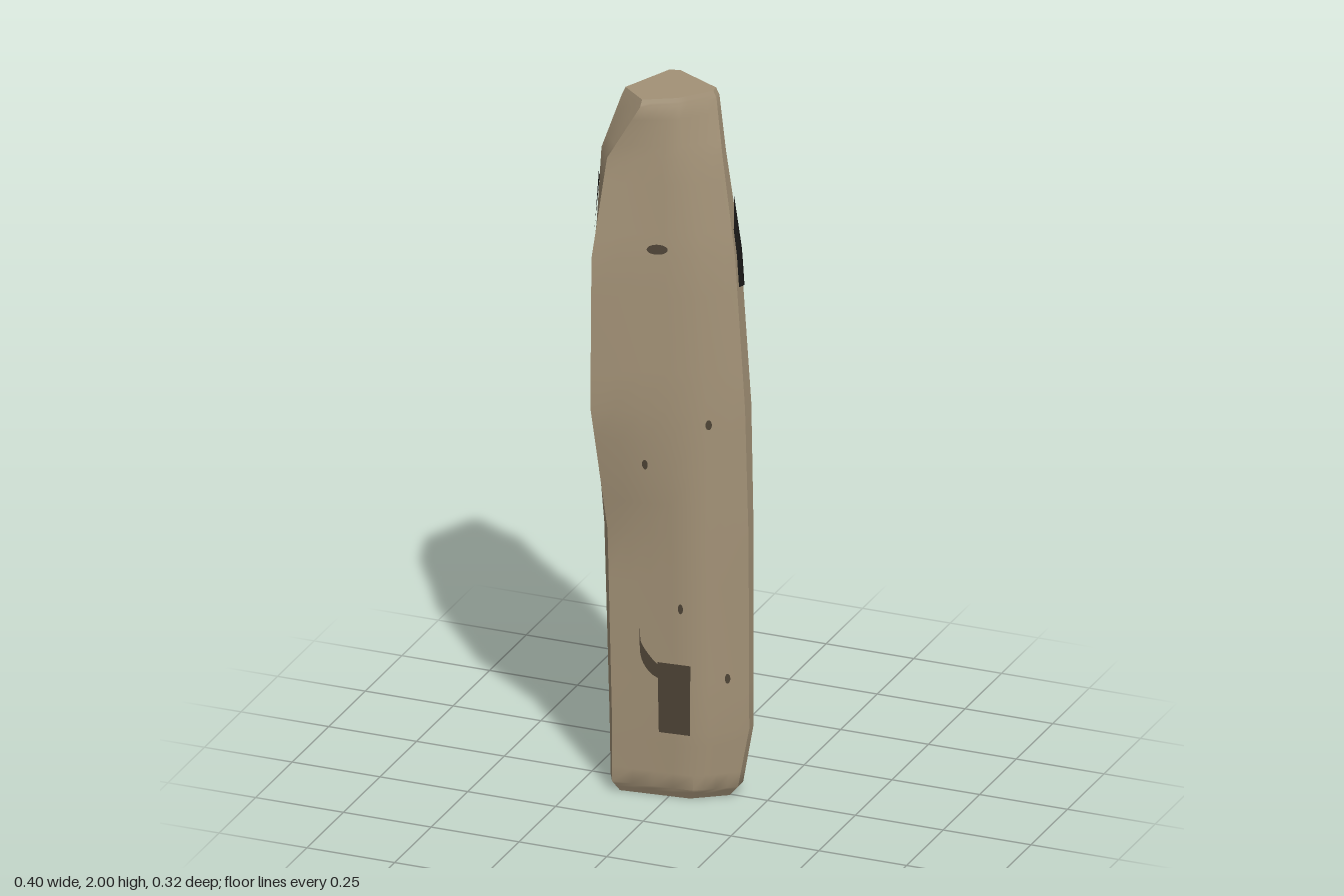
import * as THREE from 'three';
import { toCreasedNormals } from 'three/addons/utils/BufferGeometryUtils.js';

const mat = (name, color) => Object.assign(new THREE.MeshStandardMaterial({ color }), { name });

// Rounded-triangle cross-sections: height, then seven [x, z] corners
// (left side, left front, front, right front, right back, back right, back left)
const RINGS = [
  [0.03, [[-.172, .06], [-.15, .103], [.07, .08], [.17, .01], [.17, -.025], [-.045, -.158], [-.08, -.145]]],
  [0.20, [[-.175, .06], [-.15, .103], [.08, .083], [.2, .005], [.2, -.025], [-.045, -.16], [-.08, -.15]]],
  [0.75, [[-.19, .06], [-.165, .098], [.07, .083], [.2, .01], [.2, -.025], [-.045, -.15], [-.08, -.14]]],
  [1.12, [[-.2, .107], [-.187, .163], [.07, .08], [.19, .01], [.19, -.033], [-.05, -.144], [-.083, -.134]]],
  [1.55, [[-.2, .1], [-.185, .16], [.06, .075], [.157, 0], [.155, -.045], [-.05, -.137], [-.083, -.13]]],
  [1.83, [[-.196, .065], [-.155, .126], [.03, .07], [.117, -.01], [.114, -.042], [-.05, -.135], [-.083, -.128]]],
  [1.98, [[-.148, .04], [-.07, .105], [.02, .055], [.092, -.03], [.09, -.055], [-.05, -.128], [-.08, -.12]]],
];
const N = 7, MID = [-.03, -.02];

// Bevelled ends: the outermost sections drawn in towards the middle
const shrink = (y, ring, s) => [y, ring[1].map(p => p.map((q, d) => MID[d] + (q - MID[d]) * s))];
const SECTIONS = [shrink(0, RINGS[0], 0.87), ...RINGS, shrink(2, RINGS[RINGS.length - 1], 0.93)];

// Point on the body: t runs round the corners, y is the height
function surf(t, y) {
  t = ((t % N) + N) % N;
  let k = 0;
  while (k < SECTIONS.length - 2 && y > SECTIONS[k + 1][0]) k++;
  const [y0, a] = SECTIONS[k], [y1, b] = SECTIONS[k + 1];
  const v = (y - y0) / (y1 - y0), i = Math.floor(t), j = (i + 1) % N, f = t - i;
  const c = [0, 1].map(d => {
    const lo = a[i][d] + (a[j][d] - a[i][d]) * f;
    const hi = b[i][d] + (b[j][d] - b[i][d]) * f;
    return lo + (hi - lo) * v;
  });
  return new THREE.Vector3(c[0], y, c[1]);
}

// Point lifted slightly off the body, for paint
function lifted(t, y, d = 0.004) {
  const e = 0.01;
  const du = surf(t + e, y).sub(surf(t - e, y));
  const dv = surf(t, y + e).sub(surf(t, y - e));
  return surf(t, y).addScaledVector(du.cross(dv).normalize(), d);
}

function geo(points, index) {
  const g = new THREE.BufferGeometry().setFromPoints(points);
  g.setIndex(index);
  g.computeVertexNormals();
  return g;
}

function grid(rows) {
  const n = rows[0].length, index = [];
  for (let r = 0; r < rows.length - 1; r++)
    for (let c = 0; c < n - 1; c++) {
      const a = r * n + c, b = a + n;
      index.push(a, a + 1, b + 1, a, b + 1, b);
    }
  return { points: rows.flat(), index };
}

function bodyGeometry() {
  const heights = [0], cols = N * 4;
  for (let k = 1; k < SECTIONS.length; k++)
    for (let s = 1; s <= 4; s++)
      heights.push(SECTIONS[k - 1][0] + (SECTIONS[k][0] - SECTIONS[k - 1][0]) * s / 4);
  const rows = heights.map(y => Array.from({ length: cols + 1 }, (_, c) => surf(c / 4, y)));
  const { points, index } = grid(rows);
  // End caps
  const last = (heights.length - 1) * (cols + 1);
  const bottom = points.push(new THREE.Vector3(MID[0], 0, MID[1])) - 1;
  const top = points.push(new THREE.Vector3(MID[0], 2, MID[1])) - 1;
  for (let c = 0; c < cols; c++) index.push(bottom, c + 1, c, top, last + c, last + c + 1);
  return toCreasedNormals(geo(points, index), 0.6);
}

// Painted band wrapping round corners; columns are [t, low, high]
function bandGeometry(columns) {
  const dense = [];
  columns.forEach((c, i) => {
    const n = columns[i + 1];
    if (!n) return dense.push(c);
    for (let s = 0; s < 4; s++) dense.push(c.map((q, d) => q + (n[d] - q) * s / 4));
  });
  const rows = [];
  for (let r = 0; r <= 12; r++)
    rows.push(dense.map(([t, lo, hi]) => lifted(t, lo + (hi - lo) * r / 12)));
  const { points, index } = grid(rows);
  return geo(points, index);
}

// Flat painted outline given in (t, y), laid on the body
function decalGeometry(shape, d) {
  const g = new THREE.ShapeGeometry(shape), p = g.attributes.position;
  for (let i = 0; i < p.count; i++) {
    const q = lifted(p.getX(i), p.getY(i), d);
    p.setXYZ(i, q.x, q.y, q.z);
  }
  g.computeVertexNormals();
  return g;
}

// Ellipse, with a wavy edge when it has petals
const blob = (t, y, rt, ry, petals = 0) => new THREE.Shape(
  Array.from({ length: 40 }, (_, i) => {
    const a = i / 40 * Math.PI * 2, r = petals ? 0.9 + 0.1 * Math.cos(petals * a) : 1;
    return new THREE.Vector2(t + Math.cos(a) * rt * r, y + Math.sin(a) * ry * r);
  }));

// Curved tapering brush stroke through points
function stroke(points, width) {
  const curve = new THREE.SplineCurve(points.map(p => new THREE.Vector2(...p)));
  const upper = [], lower = [];
  for (let i = 0; i <= 14; i++) {
    const p = curve.getPoint(i / 14), w = width * (0.35 + 0.65 * Math.sin(Math.PI * i / 14));
    upper.push(new THREE.Vector2(p.x, p.y + w / 2));
    lower.push(new THREE.Vector2(p.x, p.y - w / 2));
  }
  return new THREE.Shape([...lower, ...upper.reverse()]);
}

export function createModel() {
  const model = new THREE.Group();
  model.name = 'paintedStick';
  const wood = mat('wood', 0xa39277), black = mat('blackPaint', 0x1c1b1a), red = mat('redPaint', 0x76262a);
  const pink = mat('pinkPaint', 0x9c5862), brown = mat('brownMark', 0x4e4436);
  const add = (name, g, m) => {
    const mesh = new THREE.Mesh(g, m);
    mesh.name = name;
    model.add(mesh);
  };
  const paint = (name, shape, m, d) => add(name, decalGeometry(shape, d), m);

  add('body', bodyGeometry(), wood);

  // Hair and mouth wrap round the back ridge
  add('hair', bandGeometry([
    [3.1, 1.46, 1.62], [4, 1.45, 1.70], [4.3, 1.48, 1.75], [4.6, 1.52, 1.77],
    [5, 1.62, 1.80], [6, 1.61, 1.80], [6.17, 1.53, 1.81], [6.44, 1.485, 1.80],
    [7, 1.41, 1.77], [7.4, 1.39, 1.76]]), black);
  add('mouth', bandGeometry([
    [4.49, .768, .775], [4.75, .72, .78], [5, .69, .78], [6, .675, .752],
    [6.5, .71, .757], [6.75, .762, .775]]), red);

  // Eyes, lashes and brows on the two back faces
  paint('rightFaceBrow', stroke([[4.1, 1.365], [4.42, 1.385], [4.8, 1.345]], .035), black);
  paint('rightFaceLash', stroke([[4.08, 1.325], [4.4, 1.33], [4.75, 1.32]], .012), black);
  paint('rightFaceEye', blob(4.41, 1.275, .22, .054), black);
  paint('leftFaceBrow', stroke([[6.19, 1.335], [6.5, 1.385], [6.81, 1.365]], .035), black);
  paint('leftFaceLash', stroke([[6.38, 1.31], [6.6, 1.325], [6.86, 1.31]], .012), black);
  paint('leftFaceEye', blob(6.56, 1.27, .15, .052), black);

  // Flowers near the foot
  paint('pinkFlower', blob(4.56, .15, .29, .06, 5), pink);
  paint('pinkFlowerCentre', blob(4.56, .15, .07, .017), red, .006);
  paint('redFlower', blob(6.52, .3, .33, .08, 6), red);
  paint('redFlowerCentre', blob(6.52, .3, .13, .03), pink, .006);

  // Dots above the hair
  paint('topDot', blob(4.6, 1.92, .1, .015), red);
  paint('topDot', blob(6.3, 1.95, .12, .014), red);
  paint('topDot', blob(6.55, 1.9, .1, .016), pink);

  // Mark on the front: a block with a curling tail
  paint('frontMark', new THREE.Shape([[1.565, .19], [1.94, .19], [1.955, .39], [1.565, .39]]
    .map(p => new THREE.Vector2(...p))), brown);
  paint('frontMarkTail', stroke([[1.68, .35], [1.5, .375], [1.37, .42], [1.36, .48]], .05), brown);

  // Small stains
  [[1.67, 1.58, .11], [2.3, 1.08, .06], [1.5, .96, .03], [1.85, .55, .03],
    [2.6, .35, .05], [4.35, .06, .06], [4.9, .08, .06], [6.1, .06, .1]]
    .forEach(([t, y, rt]) => paint('stain', blob(t, y, rt, .014), brown));

  return model;
}
